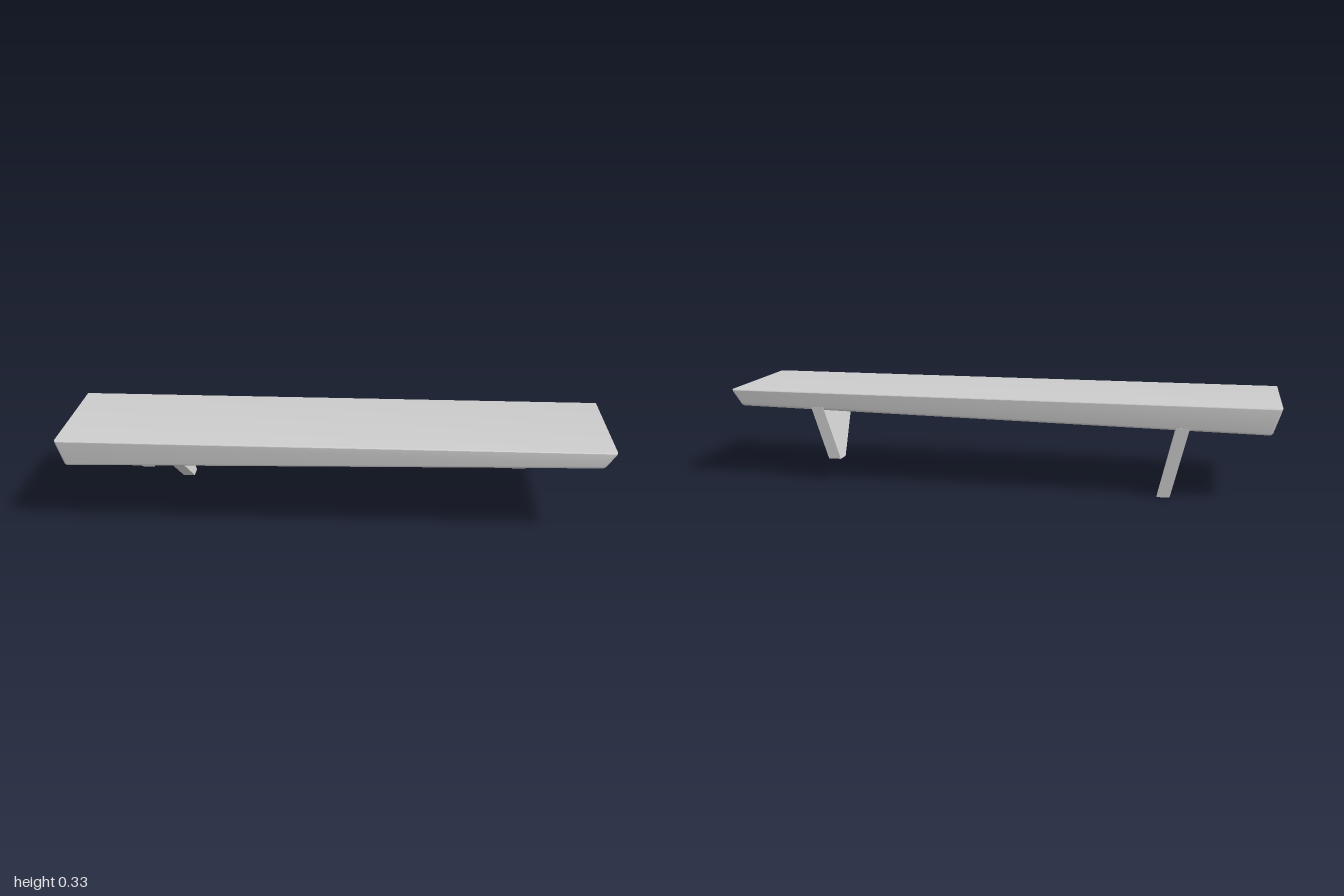
import * as THREE from 'three';
import { toCreasedNormals } from 'three/addons/utils/BufferGeometryUtils.js';

const material = new THREE.MeshStandardMaterial({ color: 0xcccccc });

const polygon = (points) => new THREE.Shape(points.map(([x, y]) => new THREE.Vector2(x, y)));

// Plank: slanted ends and a tapering underside, with softened front and back edges
function makeShelf() {
  const depth = 0.482, bevel = 0.008;
  const shape = polygon([
    [-1, 0.33], [-0.998, 0.322], [-0.97, 0.241], [-0.962, 0.235],
    [0.955, 0.269], [0.965, 0.275], [0.998, 0.322], [1, 0.33],
  ]);
  const geometry = new THREE.ExtrudeGeometry(shape, {
    depth: depth - 2 * bevel, bevelEnabled: true, bevelSize: bevel,
    bevelOffset: -bevel, bevelThickness: bevel, bevelSegments: 3,
  });
  geometry.translate(0, 0, -depth / 2 + bevel);
  const mesh = new THREE.Mesh(toCreasedNormals(geometry, 0.6), material);
  mesh.name = 'shelf';
  return mesh;
}

// Bracket: side profile given as (z, y), leaning in x by `lean` per unit of height
function makeBracket(name, { bottomX, bottomY, kneeY, tongueY, topY, lean }) {
  const width = 0.046;
  const profile = [
    [-0.242, topY], [-0.242, bottomY], [-0.19, bottomY],
    [0.053, kneeY], [0.232, tongueY], [0.232, topY],
  ];
  const geometry = new THREE.ExtrudeGeometry(
    polygon(profile.map(([z, y]) => [-z, y])), { depth: width, bevelEnabled: false });
  geometry.rotateY(Math.PI / 2);
  const p = geometry.attributes.position;
  for (let i = 0; i < p.count; i++) {
    p.setX(i, p.getX(i) + bottomX - width / 2 + lean * (p.getY(i) - bottomY));
  }
  geometry.computeVertexNormals();
  const mesh = new THREE.Mesh(geometry, material);
  mesh.name = name;
  return mesh;
}

export function createModel() {
  const group = new THREE.Group();
  group.name = 'wallShelf';
  group.add(
    makeShelf(),
    makeBracket('rightBracket', {
      bottomX: -0.606, bottomY: 0, kneeY: 0.227, tongueY: 0.235, topY: 0.25, lean: -0.25,
    }),
    makeBracket('leftBracket', {
      bottomX: 0.602, bottomY: 0.083, kneeY: 0.252, tongueY: 0.26, topY: 0.275, lean: 0.33,
    }),
  );
  return group;
}
